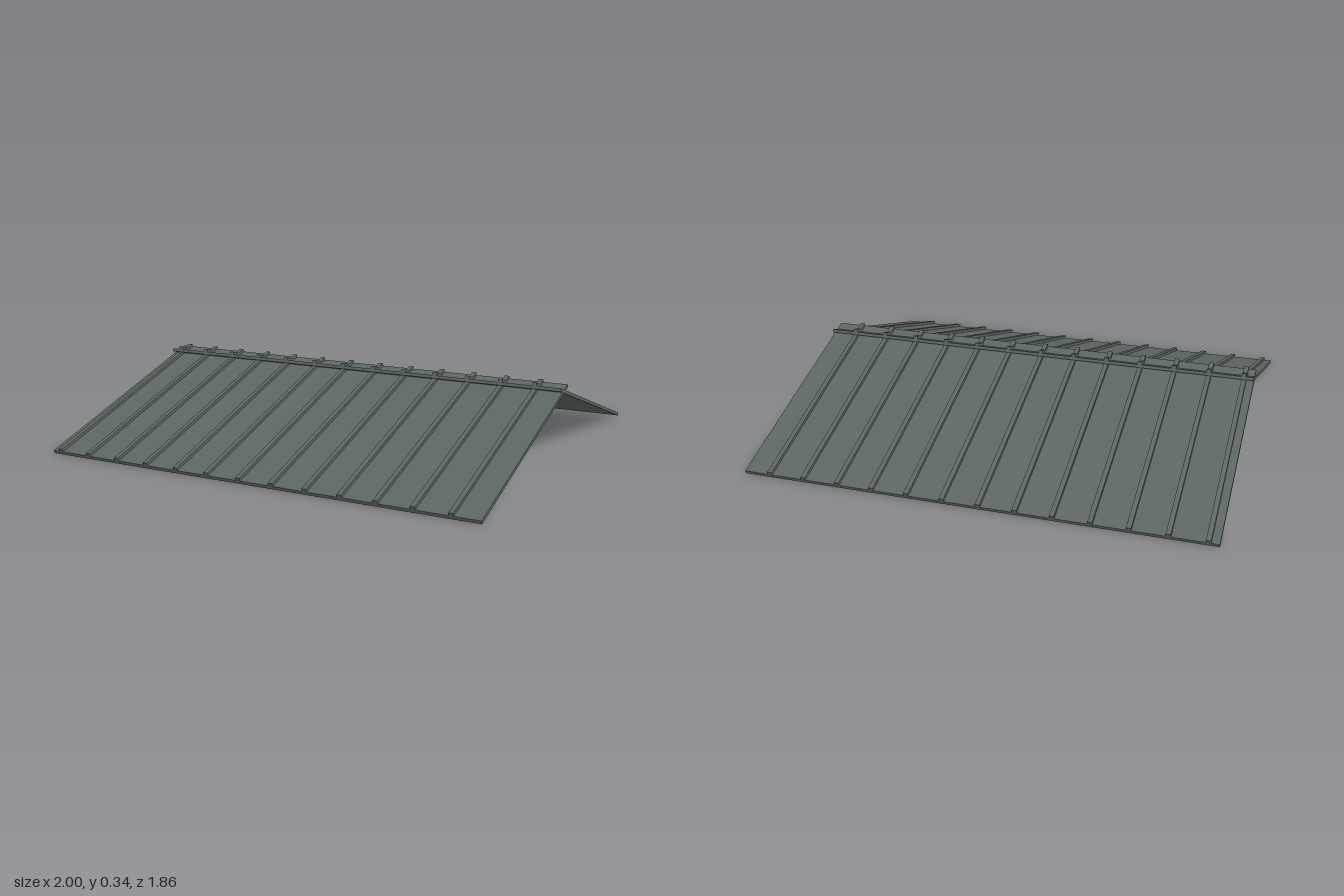
import * as THREE from 'three';

const RIDGE_Y = 0.296, EAVE_Z = 0.92, OVERLAP = 0.052;
const SHEET = 0.014, RIB_H = 0.013, RIB_W = 0.02;
const PITCH = Math.atan2(RIDGE_Y, EAVE_Z);
const RUN = Math.hypot(RIDGE_Y, EAVE_Z);

const metal = new THREE.MeshStandardMaterial({ color: 0x5c6662 });

function box(name, w, h, d, x, y, z) {
  const mesh = new THREE.Mesh(new THREE.BoxGeometry(w, h, d), metal);
  mesh.name = name;
  mesh.position.set(x, y, z);
  return mesh;
}

// One roof slope: a thin sheet with raised seams, running past the ridge
function slope(name, side) {
  const group = new THREE.Group();
  group.name = name;
  const length = RUN + OVERLAP;
  const midZ = side * (RUN - OVERLAP) / 2;
  group.add(box('roofSheet', 2, SHEET, length, 0, SHEET / 2, midZ));
  for (let i = 0; i < 13; i++) {
    group.add(box('seamRib', RIB_W, RIB_H, length, -0.957 + i * 0.1533, SHEET + RIB_H / 2, midZ));
  }
  group.rotation.x = side * PITCH;
  group.position.y = RIDGE_Y;
  return group;
}

export function createModel() {
  const roof = new THREE.Group();
  roof.name = 'gableRoof';
  roof.add(slope('frontSlope', 1), slope('backSlope', -1));
  return roof;
}
